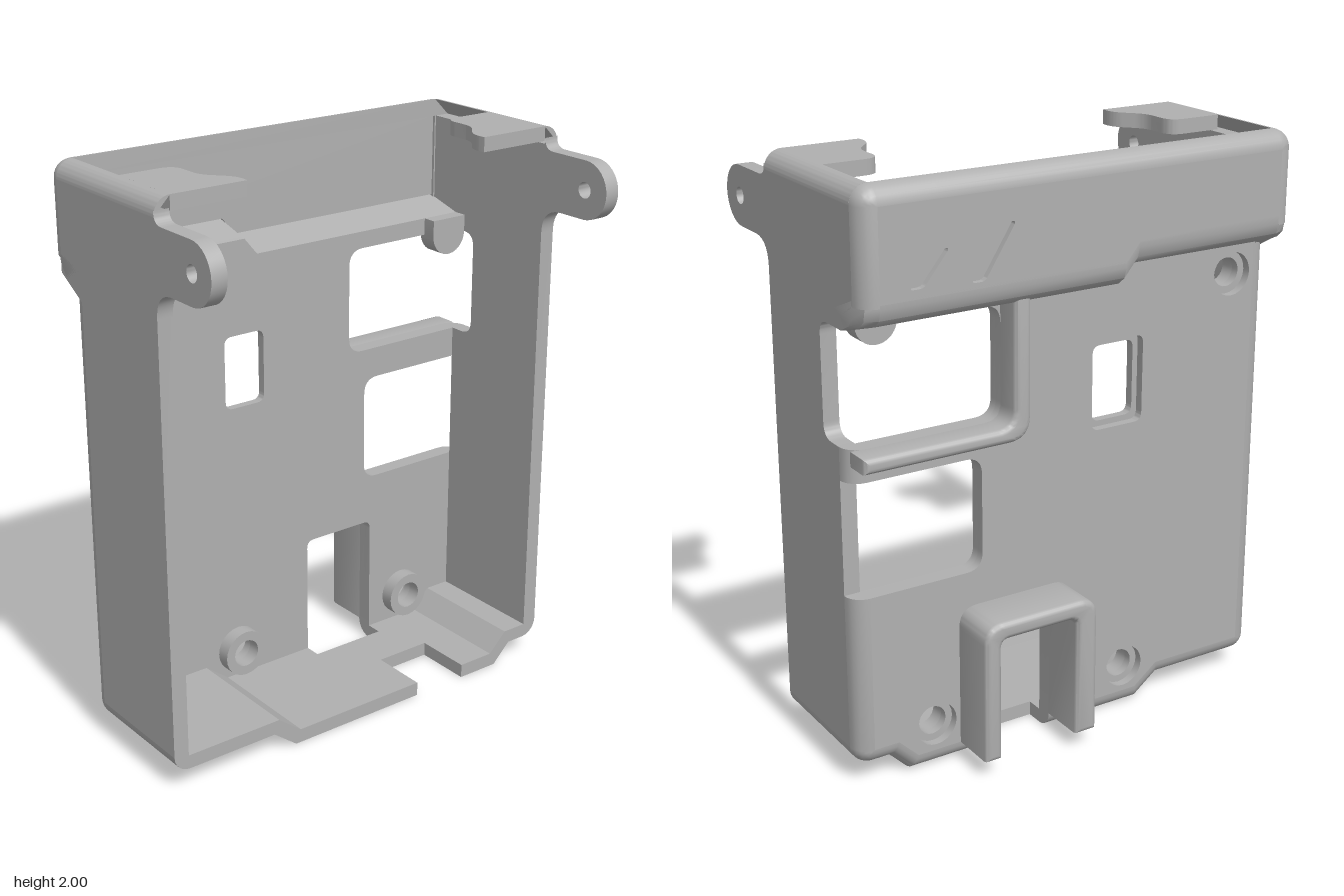
import * as THREE from 'three';
import { toCreasedNormals } from 'three/addons/utils/BufferGeometryUtils.js';

const R = 0.06; // outer edge radius

// Closed shape from [x, y, cornerRadius?] points
function poly(pts, target = new THREE.Shape()) {
  const n = pts.length;
  pts.forEach(([x, y, r = 0], i) => {
    const toward = ([qx, qy]) => {
      const d = Math.hypot(qx - x, qy - y) || 1;
      return [x + (qx - x) * r / d, y + (qy - y) * r / d];
    };
    const a = toward(pts[(i + n - 1) % n]), b = toward(pts[(i + 1) % n]);
    if (i === 0) target.moveTo(a[0], a[1]); else target.lineTo(a[0], a[1]);
    if (r) target.quadraticCurveTo(x, y, b[0], b[1]);
  });
  target.closePath();
  return target;
}
const hole = (pts) => poly(pts, new THREE.Path());
const circle = (x, y, r) => new THREE.Path().absarc(x, y, r, 0, Math.PI * 2, true);
const rect = (a, b, c, d, r) => [[a, c, r], [b, c, r], [b, d, r], [a, d, r]];

function extrude(shape, depth, bevel = 0) {
  return new THREE.ExtrudeGeometry(shape, {
    depth: depth - 2 * bevel, curveSegments: 12, bevelEnabled: bevel > 0,
    bevelSize: bevel, bevelThickness: bevel, bevelOffset: -bevel, bevelSegments: 3,
  }).translate(0, 0, bevel);
}
// Side-on shapes use s = -z across and y up, and are extruded along x
const alongX = (shape, x0, x1, bevel) =>
  extrude(shape, x1 - x0, bevel).rotateY(Math.PI / 2).translate(x0, 0, 0);

// Skin over rows of closed [s, y, x] sections, with capped ends
function loft(rows) {
  const pos = [];
  const tri = (...ps) => ps.forEach(([s, y, x]) => pos.push(x, y, -s));
  const n = rows[0].length;
  for (let i = 0; i + 1 < rows.length; i++) {
    for (let j = 0; j < n; j++) {
      const k = (j + 1) % n, A = rows[i], B = rows[i + 1];
      tri(A[j], B[j], B[k]);
      tri(A[j], B[k], A[k]);
    }
  }
  const a = rows[0], b = rows[rows.length - 1];
  for (let j = 1; j + 1 < n; j++) {
    tri(a[0], a[j], a[j + 1]);
    tri(b[0], b[j + 1], b[j]);
  }
  return new THREE.BufferGeometry().setAttribute('position', new THREE.Float32BufferAttribute(pos, 3));
}

// Quarter-round edge following [outerS, outerY, innerS, innerY] stations
const roundEdge = (stations, baseX) => loft(stations.map(([os, oy, is, iy]) => {
  const row = [[is, iy, baseX]];
  for (let k = 0; k <= 6; k++) {
    const a = k * Math.PI / 12, c = Math.cos(a);
    row.push([is + (os - is) * c, iy + (oy - iy) * c, baseX - R * Math.sin(a)]);
  }
  return row;
}));
// Stations turning a rounded corner about one centre
const corner = (s, y, a0, a1) => Array.from({ length: 7 }, (_, k) => {
  const a = a0 + (a1 - a0) * k / 6;
  return [s + R * Math.cos(a), y + R * Math.sin(a), s, y];
});

export function createModel() {
  const group = new THREE.Group();
  const grey = new THREE.MeshStandardMaterial({ color: 0xb0b0b0, side: THREE.DoubleSide });
  grey.name = 'grey plastic';
  const add = (name, geo) => {
    const mesh = new THREE.Mesh(toCreasedNormals(geo, 0.6), grey);
    mesh.name = name;
    group.add(mesh);
  };
  const PI = Math.PI;
  const screws = [[-0.65, 1.51], [-0.24, 0.155], [0.51, 0.155]];

  // Back plate in two layers, the outer one with counterbores
  for (const [name, x0, x1, r, m] of [['backPlateOuter', -0.32, -0.29, 0.075, 0.02], ['backPlateInner', -0.29, -0.26, 0.05, 0]]) {
    const plate = poly([
      [-0.74, 0.13], [-0.38, 0.13], [-0.29, 0.06], [0.07, 0.06], [0.07, 0.49, 0.03], [0.36, 0.49, 0.03],
      [0.36, 0.06], [0.58, 0.06], [0.65, 0.13], [0.74, 0.13], [0.74, 0.67], [0.33, 0.67, 0.06],
      [0.33, 1.06, 0.06], [0.74, 1.06], [0.74, 1.17], [0.26, 1.17, 0.06], [0.26, 1.55, 0.06],
      [0.74, 1.55], [0.74, 1.57], [-0.13, 1.57], [-0.18, 1.62], [-0.74, 1.62],
    ]);
    screws.forEach(([s, y]) => plate.holes.push(circle(s, y, r)));
    plate.holes.push(hole(rect(-0.27 - m, -0.11 + m, 1.08 - m, 1.34 + m, 0.03)));
    add(name, alongX(plate, x0, x1));
  }

  // Screw bosses
  for (const [s, y] of screws) {
    const ring = new THREE.Shape().absarc(s, y, 0.085, 0, PI * 2, false);
    ring.holes.push(circle(s, y, 0.05));
    add('screwBoss', alongX(ring, -0.26, -0.21));
  }

  // Rounded lower edges of the back, interrupted by the openings
  add('lowerEdge', roundEdge([
    [-0.8, 1.63, -0.74, 1.63], ...corner(-0.74, 0.13, PI, PI * 1.5),
    [-0.4, 0.07, -0.38, 0.13], [-0.31, 0, -0.29, 0.06], [0.07, 0, 0.07, 0.06]], -0.26));
  add('lowerEdge', roundEdge([
    [0.36, 0, 0.36, 0.06], [0.6, 0, 0.58, 0.06], [0.67, 0.07, 0.65, 0.13],
    ...corner(0.74, 0.13, -PI / 2, 0), [0.8, 0.67, 0.74, 0.67]], -0.26));
  add('lowerEdge', roundEdge([[0.8, 1.06, 0.74, 1.06], [0.8, 1.17, 0.74, 1.17]], -0.26));

  // Raised upper back with two slanted grooves
  const upper = () => poly([[-0.74, 1.71], [-0.18, 1.71], [-0.13, 1.65], [0.74, 1.65], [0.74, 1.94], [-0.74, 1.94]]);
  const grooved = upper();
  for (const [s0, y0, s1, y1] of [[0.62, 1.68, 0.53, 1.79], [0.41, 1.67, 0.3, 1.84]]) {
    const w = 0.024;
    grooved.holes.push(hole([[s0 - w, y0, 0.015], [s0 + w, y0, 0.015], [s1 + w, y1, 0.015], [s1 - w, y1, 0.015]]));
  }
  add('upperBackOuter', alongX(grooved, -0.44, -0.42));
  add('upperBackInner', alongX(upper(), -0.42, -0.39));
  add('upperEdge', roundEdge([
    [-0.8, 1.69, -0.74, 1.69], ...corner(-0.74, 1.94, PI, PI / 2),
    ...corner(0.74, 1.94, PI / 2, 0), [0.8, 1.64, 0.74, 1.64]], -0.38));

  // Stepped ledge joining the upper and lower back
  const ledge = (s, dy, k = 1) => [
    [-0.26, 1.61], [-0.39, 1.645], [-0.44, 1.66], [-0.44, 1.635], [-0.43, 1.6], [-0.4, 1.575], [-0.32, 1.55], [-0.26, 1.55],
  ].map(([x, y]) => [s, y + dy, -0.26 + (x + 0.26) * k]);
  add('ledge', loft([
    ledge(-0.8, 0.06, 0.66), ledge(-0.782, 0.06, 0.9), ledge(-0.74, 0.06), ledge(-0.18, 0.06),
    ledge(-0.13, 0), ledge(0.74, 0), ledge(0.782, 0, 0.9), ledge(0.8, 0, 0.66)]));

  // Tongue hanging from the ledge
  const tongue = new THREE.Shape().moveTo(0.745, 1.61).lineTo(0.6, 1.61).lineTo(0.6, 1.55);
  tongue.absarc(0.672, 1.55, 0.072, PI, PI * 2, false);
  add('tongue', alongX(tongue, -0.28, -0.21));

  // Side walls with mounting ears, corner flaps and rounded top edges
  for (const side of [1, -1]) {
    const port = side < 0
      ? [[-0.26, 1.55], [-0.16, 1.55, 0.05], [-0.16, 1.17, 0.05], [-0.26, 1.17]] : [];
    const wall = poly([
      [-0.26, 0.13], [0.185, 0.13], [0.185, 1.72, 0.09], [0.38, 1.72],
      ...Array.from({ length: 15 }, (_, k) => {
        const a = -PI / 2 + (k + 1) * PI / 16;
        return [0.38 + 0.1 * Math.cos(a), 1.82 + 0.1 * Math.sin(a)];
      }),
      [0.38, 1.92], [0.185, 1.92, 0.04], [0.185, 1.965], [0.185, 1.94], [-0.38, 1.94],
      [-0.38, 1.64], [-0.26, 1.57], ...port,
    ].filter(([, y]) => y !== 1.965));
    wall.holes.push(circle(0.38, 1.82, 0.028));
    add(side > 0 ? 'leftWall' : 'rightWall', extrude(wall, 0.055).translate(0, 0, side > 0 ? 0.745 : -0.8));

    const top = new THREE.Shape().moveTo(side * 0.74, 1.94);
    top.absarc(side * 0.74, 1.94, R, side > 0 ? 0 : PI / 2, side > 0 ? PI / 2 : PI, false);
    add('wallTopEdge', alongX(top, -0.38, 0.185));

    const flap = poly([
      [-0.1, 0.742], [-0.1, 0.545, 0.055], [0.04, 0.545, 0.04], [0.13, 0.465, 0.04],
      [0.185, 0.47], [0.185, 0.742],
    ].map(([x, z, r]) => [x, z * side, r]));
    add('topFlap', extrude(flap, 0.05).rotateX(PI / 2).translate(0, 2, 0));
  }

  // Floor in strips, leaving a slot by the back and a notch at the open side
  const arc = (s, a0) => corner(s, 0.13, a0, a0 + PI / 2).map(([x, y]) => [x, y]);
  const floorLeft = (s) => poly([...arc(-0.74, PI), [-0.4, 0.07], [-0.31, 0], [s, 0], [s, 0.05],
    [-0.29, 0.05], [-0.38, 0.12], [-0.745, 0.12], [-0.745, 0.13]]);
  const floorRight = (s) => poly([[s, 0], [0.6, 0], [0.67, 0.07], ...arc(0.74, -PI / 2),
    [0.745, 0.13], [0.745, 0.12], [0.65, 0.12], [0.58, 0.05], [s, 0.05]]);
  for (const [x0, x1, a, b] of [[-0.26, -0.2, 0.07, 0.36], [-0.2, -0.025, 0.2, 0.2], [-0.025, 0.185, 0.23, 0.44]]) {
    add('floor', alongX(floorLeft(a), x0, x1));
    add('floor', alongX(floorRight(b), x0, x1));
  }

  // Raised rim round the upper port
  add('portRim', alongX(poly([
    [0.79, 1.12], [0.2, 1.12, 0.08], [0.2, 1.6], [0.26, 1.6], [0.26, 1.17, 0.06], [0.79, 1.17],
  ]), -0.41, -0.3, 0.018));

  // Open hood over the lower port
  add('portHood', alongX(poly([
    [-0.01, 0.06], [0.07, 0.06], [0.07, 0.49, 0.03], [0.36, 0.49, 0.03], [0.36, 0.06], [0.42, 0.06],
    [0.42, 0.55, 0.07], [-0.01, 0.55, 0.07],
  ]), -0.49, -0.3, 0.018));

  return group;
}
